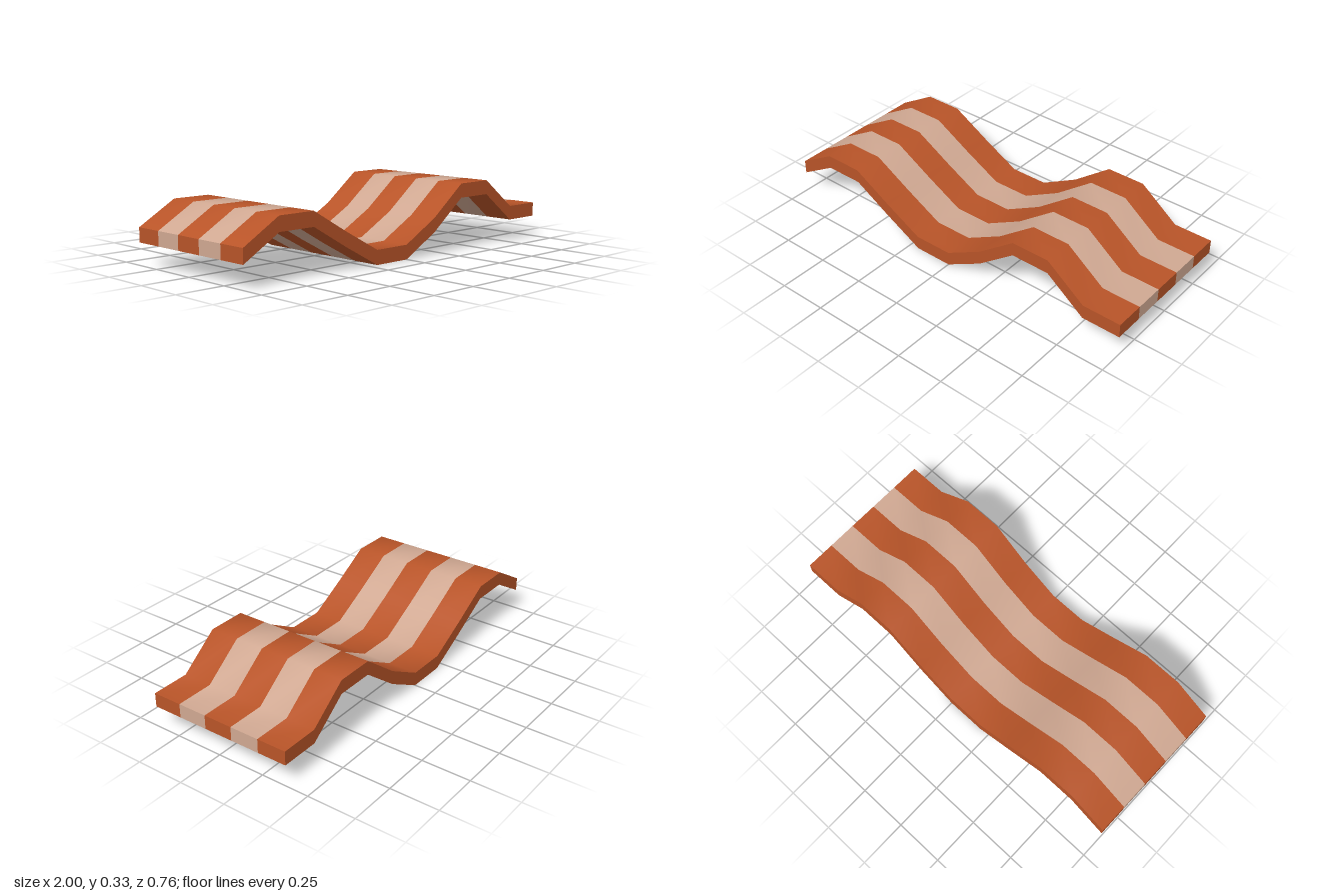
import * as THREE from 'three';
import { toCreasedNormals } from 'three/addons/utils/BufferGeometryUtils.js';

const THICKNESS = 0.072;
const STRIPE_WIDTH = 0.153;
const STRIPES = 5;
// Underside heights at even steps from x = -1 to x = 1
const WAVE = [0.109, 0.225, 0.225, 0.109, 0, 0, 0.109, 0.262, 0.262, 0.109, 0.109];

// Wavy ribbon outline, seen from the front
function ribbonShape() {
  const lower = WAVE.map((y, i) => new THREE.Vector2(-1 + i * 0.2, y));
  const upper = lower.map((p) => new THREE.Vector2(p.x, p.y + THICKNESS)).reverse();
  return new THREE.Shape([...lower, ...upper]);
}

export function createModel() {
  const model = new THREE.Group();
  model.name = 'wavyStrip';

  const meat = new THREE.MeshStandardMaterial({ color: 0xb85428 });
  const fat = new THREE.MeshStandardMaterial({ color: 0xd0a892 });

  // Smooth along the wave, sharp at the edges
  const geometry = toCreasedNormals(
    new THREE.ExtrudeGeometry(ribbonShape(), { depth: STRIPE_WIDTH, bevelEnabled: false }),
    THREE.MathUtils.degToRad(45)
  );

  // Alternating lengthwise stripes, side by side from back to front
  for (let i = 0; i < STRIPES; i++) {
    const isFat = i % 2 === 1;
    const stripe = new THREE.Mesh(geometry, isFat ? fat : meat);
    stripe.name = (isFat ? 'fatStripe' : 'meatStripe') + (Math.floor(i / 2) + 1);
    stripe.position.z = (i - STRIPES / 2) * STRIPE_WIDTH;
    model.add(stripe);
  }
  return model;
}
